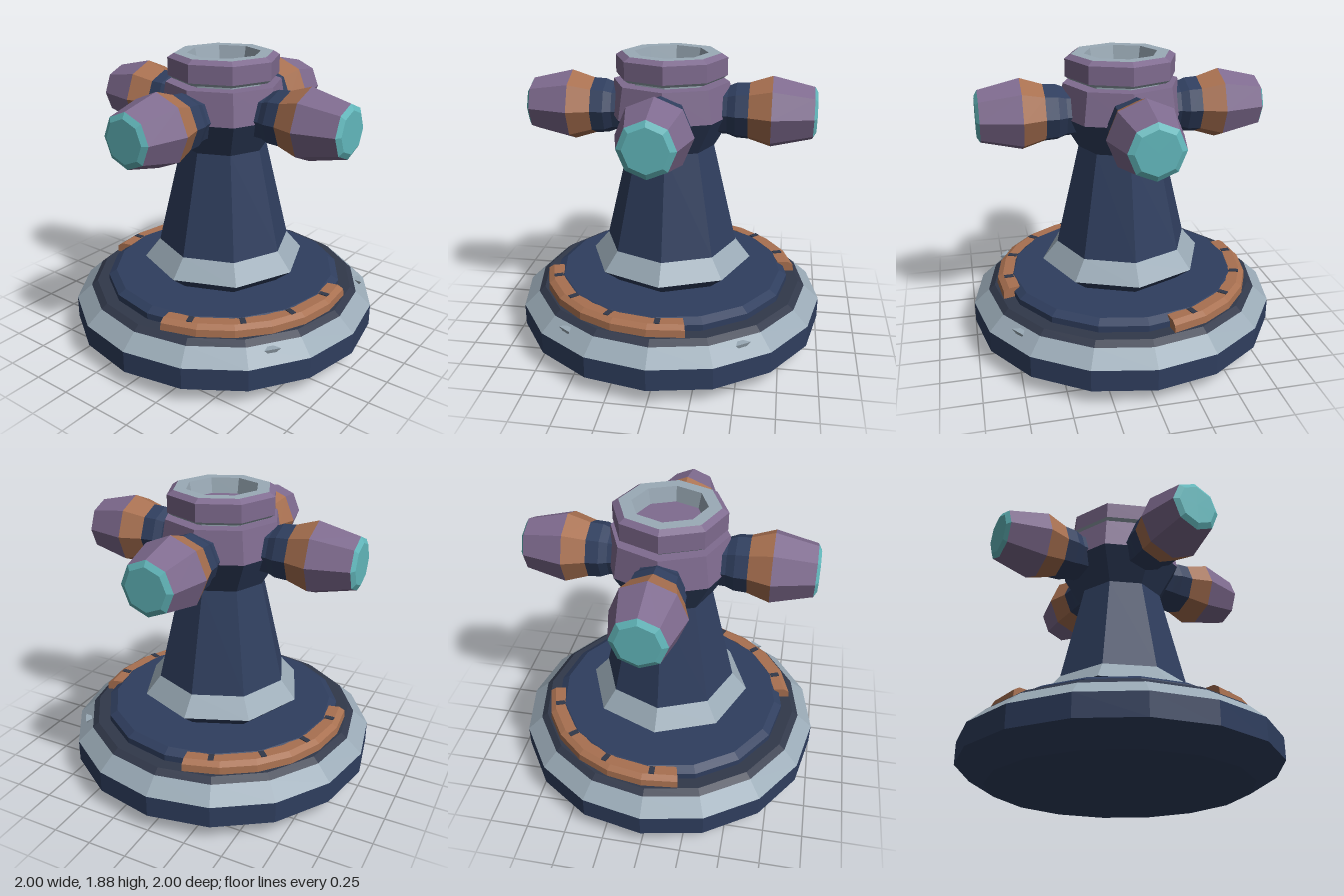
import * as THREE from 'three';

const flat = (color, extra = {}) => new THREE.MeshStandardMaterial({ color, ...extra });

export function createModel() {
  const navy = flat(0x2f3e5e); navy.name = 'navy';
  const slate = flat(0x31384a); slate.name = 'slate';
  const steel = flat(0x9aaab6); steel.name = 'steel';
  const purple = flat(0x7f6b8f); purple.name = 'purple';
  const copper = flat(0xa87050, { side: THREE.DoubleSide }); copper.name = 'copper';
  const cyan = flat(0x62b8bc); cyan.name = 'cyan';

  const model = new THREE.Group();
  model.name = 'turret';
  const rad = THREE.MathUtils.degToRad;
  const vec = (pts) => pts.map(([r, y]) => new THREE.Vector2(r, y));

  // Faceted geometry: every face gets its own normal
  const facet = (geo) => {
    const g = geo.index ? geo.toNonIndexed() : geo;
    g.computeVertexNormals();
    return g;
  };
  const add = (parent, name, geo, mat) => {
    const mesh = new THREE.Mesh(facet(geo), mat);
    mesh.name = name;
    parent.add(mesh);
    return mesh;
  };
  // Turned part, with a corner on each axis
  const turned = (parent, name, mat, sides, pts) =>
    add(parent, name, new THREE.LatheGeometry(vec(pts), sides), mat);

  // Round base
  turned(model, 'baseBody', navy, 16, [[0, 0], [0.82, 0], [1, 0.11], [1, 0.25]]);
  turned(model, 'baseRim', steel, 16, [[1, 0.25], [0.9, 0.34]]);
  turned(model, 'baseStep', slate, 16, [[0.9, 0.34], [0.86, 0.37], [0.76, 0.37]]);
  turned(model, 'baseDeck', navy, 16, [[0.78, 0.37], [0.78, 0.41], [0.73, 0.44], [0, 0.44]]);

  // Two copper rails with dark notches on the deck edge
  const section = [[0.73, 0.37], [0.84, 0.37], [0.835, 0.415], [0.8, 0.437], [0.73, 0.437]];
  for (const start of [100, 280]) {
    const rail = new THREE.Group();
    rail.name = 'deckRail';
    model.add(rail);
    const sweep = 94;
    add(rail, 'railArc', new THREE.LatheGeometry(vec([...section, section[0]]), 6, rad(start), rad(sweep)), copper);
    for (const a of [start, start + sweep]) {
      add(rail, 'railEnd', new THREE.ShapeGeometry(new THREE.Shape(vec(section))), copper)
        .rotation.y = rad(a - 90);
    }
    for (let i = 0; i < 4; i++) {
      const a = rad(start + sweep * (i + 0.5) / 4);
      const notch = add(rail, 'railNotch', new THREE.BoxGeometry(0.035, 0.009, 0.06), slate);
      notch.position.set(0.765 * Math.sin(a), 0.437, 0.765 * Math.cos(a));
      notch.rotation.y = a;
    }
  }

  // Small wedges on the front of the rim, pointing down
  for (const side of [-1, 1]) {
    const pivot = new THREE.Group();
    pivot.name = 'rimWedge';
    pivot.rotation.y = side * rad(35.5);
    model.add(pivot);
    const wedge = add(pivot, 'wedge', new THREE.ConeGeometry(0.06, 0.06, 3), steel);
    wedge.rotation.x = Math.PI;
    wedge.scale.z = 0.7;
    wedge.position.set(0, 0.298, 0.915);
  }

  // Column with flared foot
  turned(model, 'columnFoot', navy, 8, [[0.42, 0.44], [0.53, 0.53]]);
  turned(model, 'columnCollar', steel, 8, [[0.53, 0.53], [0.43, 0.65]]);
  turned(model, 'column', navy, 8, [[0.43, 0.65], [0.275, 1.3], [0.4, 1.51]]);

  // Hub and the open ring on top of it
  turned(model, 'hub', purple, 8, [[0.4, 1.51], [0.365, 1.71], [0, 1.71]]);
  turned(model, 'ringNeck', steel, 8, [[0.27, 1.7], [0.27, 1.73], [0.32, 1.73], [0.35, 1.75]]);
  turned(model, 'ringBody', purple, 8, [[0.35, 1.75], [0.35, 1.86], [0.31, 1.885]]);
  turned(model, 'ringLip', steel, 8, [[0.31, 1.885], [0.23, 1.885], [0.21, 1.79]]);
  turned(model, 'ringFloor', purple, 8, [[0.22, 1.79], [0, 1.79]]);

  // Four pods around the hub
  for (let i = 0; i < 4; i++) {
    const pod = new THREE.Group();
    pod.name = 'pod';
    pod.position.y = 1.53;
    pod.rotation.y = i * Math.PI / 2;
    model.add(pod);
    const axis = new THREE.Group();
    axis.name = 'podAxis';
    axis.rotation.x = Math.PI / 2;
    pod.add(axis);
    turned(axis, 'podSleeve', navy, 8, [[0.15, 0.28], [0.155, 0.36], [0.175, 0.41], [0.18, 0.49]]);
    turned(axis, 'podBand', copper, 8, [[0.18, 0.49], [0.225, 0.63]]);
    turned(axis, 'podShell', purple, 8, [[0.225, 0.63], [0.165, 0.885]]);
    turned(axis, 'podLens', cyan, 8, [[0.165, 0.885], [0.13, 0.905], [0, 0.905]]);
  }

  return model;
}
